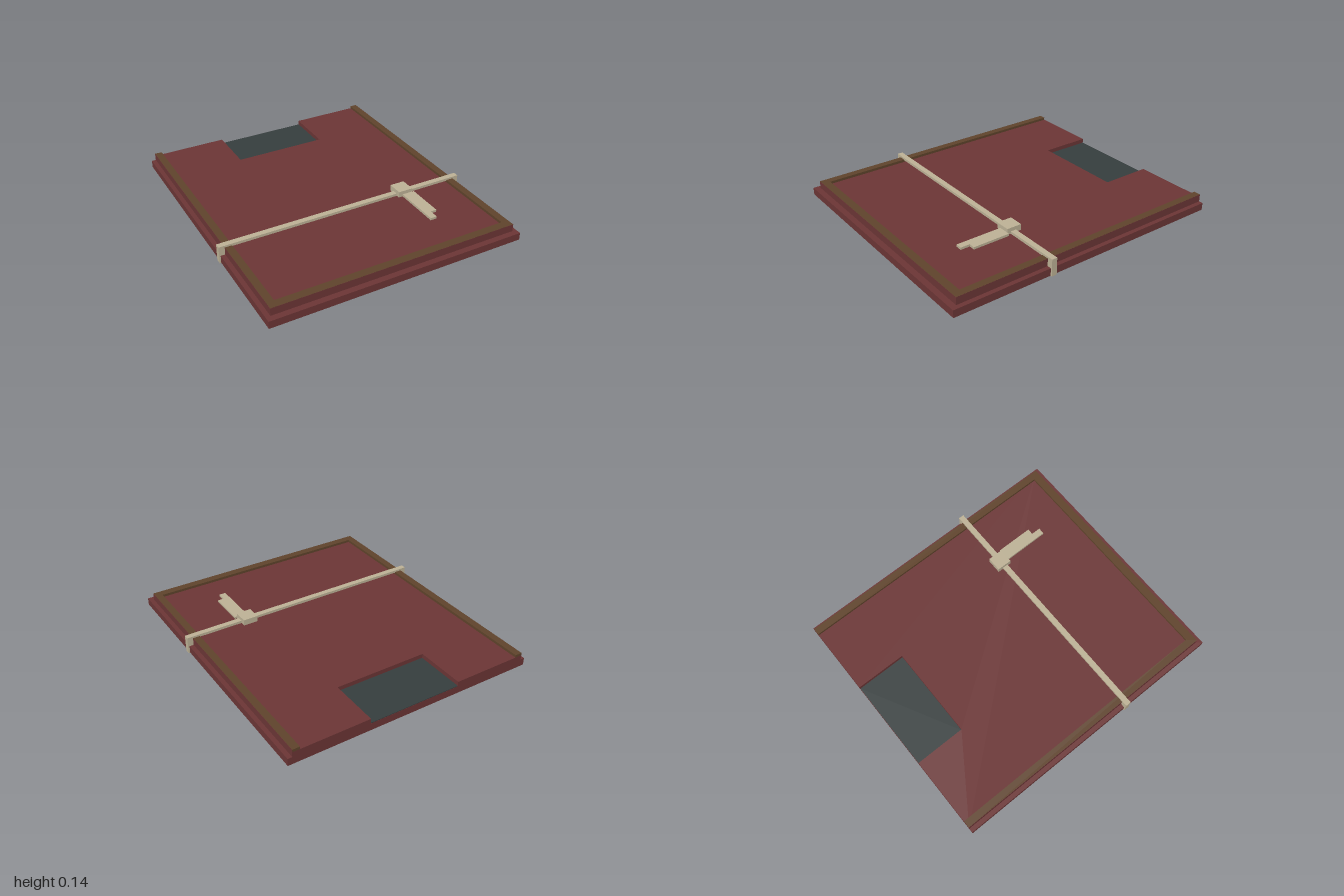
import * as THREE from 'three';

const mat = (name, color) => {
  const m = new THREE.MeshStandardMaterial({ color });
  m.name = name;
  return m;
};

export function createModel() {
  const group = new THREE.Group();
  const maroon = mat('maroon leather', 0x6b3535);
  const brown = mat('brown trim', 0x5f432b);
  const slate = mat('slate panel', 0x353d3d);
  const beige = mat('beige strap', 0xbcb195);

  // Box given by its minimum and maximum on each axis
  const box = (name, material, [x0, x1], [y0, y1], [z0, z1]) => {
    const mesh = new THREE.Mesh(new THREE.BoxGeometry(x1 - x0, y1 - y0, z1 - z0), material);
    mesh.position.set((x0 + x1) / 2, (y0 + y1) / 2, (z0 + z1) / 2);
    mesh.name = name;
    group.add(mesh);
  };

  // Flat outline of [x, z] points raised from y0 to y1
  const slab = (name, material, points, y0, y1) => {
    const shape = new THREE.Shape(points.map(([x, z]) => new THREE.Vector2(x, -z)));
    const geo = new THREE.ExtrudeGeometry(shape, { depth: y1 - y0, bevelEnabled: false });
    geo.rotateX(-Math.PI / 2).translate(0, y0, 0);
    const mesh = new THREE.Mesh(geo, material);
    mesh.name = name;
    group.add(mesh);
  };

  // U-shaped border, open at the back
  const border = (name, material, outX, outZ, inX, inZ, y0, y1) => slab(name, material, [
    [-outX, -1], [-outX, outZ], [outX, outZ], [outX, -1],
    [inX, -1], [inX, inZ], [-inX, inZ], [-inX, -1],
  ], y0, y1);

  // Lower board
  box('lowerBoard', maroon, [-0.88, 0.88], [0.002, 0.053], [-1, 1]);

  // Upper board with a notch cut into its back edge
  slab('upperBoard', maroon, [
    [-0.85, -1], [-0.85, 0.96], [0.85, 0.96], [0.85, -1],
    [0.325, -1], [0.325, -0.65], [-0.325, -0.65], [-0.325, -1],
  ], 0.053, 0.087);

  // Raised rim: brown top and inside, maroon outside
  border('rim', brown, 0.849, 0.959, 0.8, 0.905, 0.087, 0.105);
  border('rimOuterSkin', maroon, 0.85, 0.96, 0.849, 0.959, 0.087, 0.1045);

  // Dark panel in the notch
  box('notchPanel', slate, [-0.325, 0.325], [0.052, 0.057], [-0.999, -0.65]);

  // Strap wrapped around the boards
  const strapZ = [0.28, 0.318];
  box('strapTop', beige, [-0.89, 0.89], [0.1, 0.118], strapZ);
  box('strapBottom', beige, [-0.89, 0.89], [0, 0.01], strapZ);
  for (const s of [-1, 1]) {
    box(s > 0 ? 'strapSideLeft' : 'strapSideRight', beige,
      s > 0 ? [0.85, 0.89] : [-0.89, -0.85], [0.01, 0.1], strapZ);
  }

  // Buckle and loose strap end
  box('buckle', beige, [0.39, 0.493], [0.102, 0.143], [0.24, 0.345]);
  box('strapEnd', beige, [0.42, 0.508], [0.102, 0.118], [0.345, 0.605]);
  box('strapTip', beige, [0.42, 0.465], [0.102, 0.118], [0.605, 0.67]);

  return group;
}
